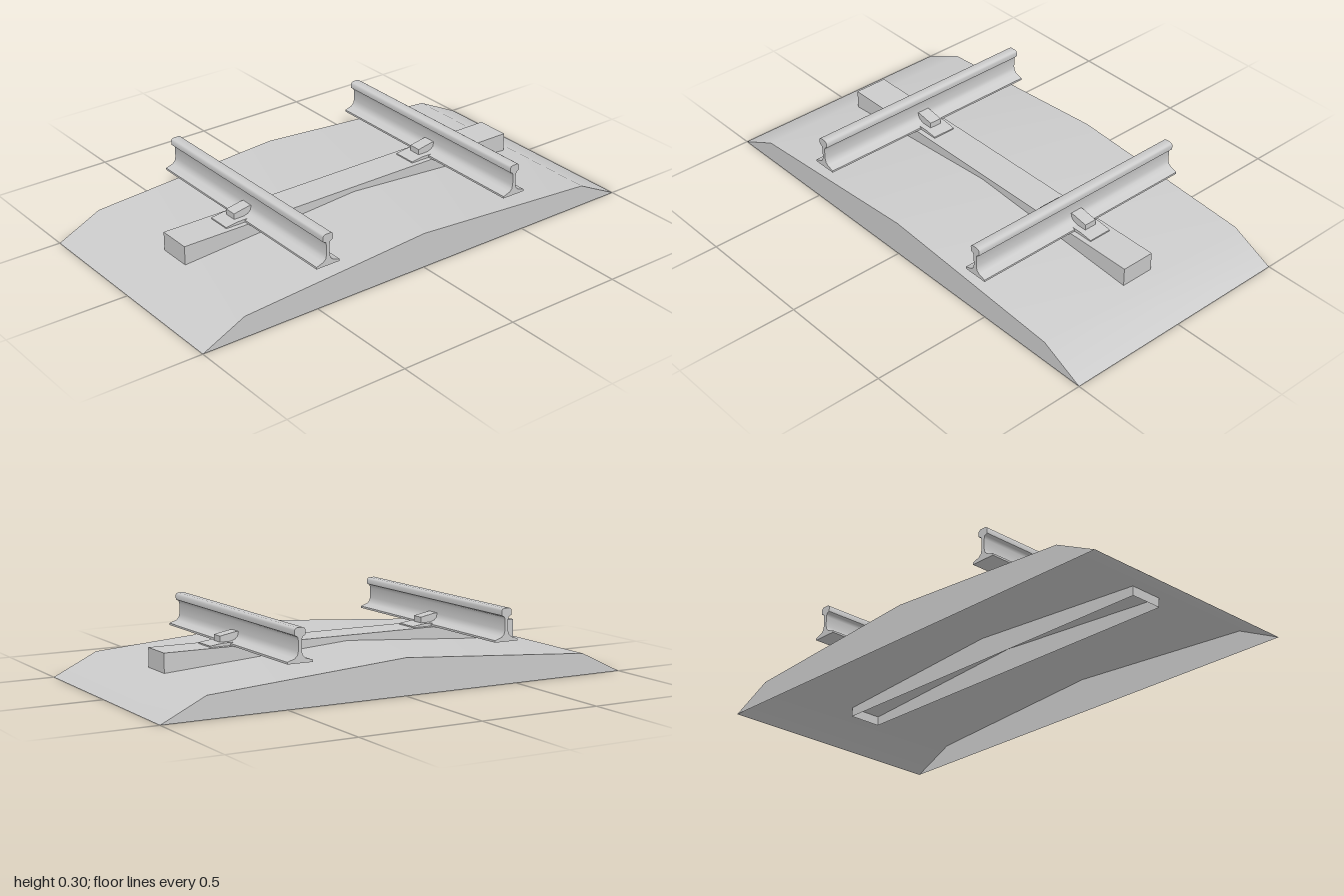
import * as THREE from 'three';
import { toCreasedNormals } from 'three/addons/utils/BufferGeometryUtils.js';

const material = new THREE.MeshStandardMaterial({ color: 0xcccccc, side: THREE.DoubleSide });

function addMesh(parent, name, geometry) {
  const mesh = new THREE.Mesh(geometry, material);
  mesh.name = name;
  parent.add(mesh);
  return mesh;
}

// Shape from the right half of a symmetric profile, listed from bottom to top
function mirroredShape(half) {
  const left = half.filter(([x]) => x > 0).map(([x, y]) => [-x, y]).reverse();
  return new THREE.Shape([...half, ...left].map(([x, y]) => new THREE.Vector2(x, y)));
}

function extrude(half, depth, crease = 0.3) {
  const geometry = new THREE.ExtrudeGeometry(mirroredShape(half), { depth, bevelEnabled: false });
  geometry.translate(0, 0, -depth / 2);
  return toCreasedNormals(geometry, crease);
}

// Gravel bed: crowned smooth top, closed ends, open underside
function createBallast() {
  const group = new THREE.Group();
  group.name = 'ballast';
  const profile = [[-1, 0], [-0.82, 0.087], [0, 0.145], [0.82, 0.087], [1, 0]];
  const top = new THREE.PlaneGeometry(2, 1, profile.length - 1, 1).rotateX(-Math.PI / 2);
  const position = top.attributes.position;
  for (let i = 0; i < position.count; i++) {
    const [x, y] = profile[i % profile.length];
    position.setXYZ(i, x, y, position.getZ(i));
  }
  top.computeVertexNormals();
  addMesh(group, 'ballastTop', top);
  const end = new THREE.ShapeGeometry(mirroredShape([[1, 0], [0.82, 0.087], [0, 0.145]]));
  addMesh(group, 'ballastFrontEnd', end).position.z = 0.5;
  const back = addMesh(group, 'ballastBackEnd', end);
  back.position.z = -0.5;
  back.rotation.y = Math.PI;
  return group;
}

// Sleeper: a box without its bottom, sunk into the gravel
function createSleeperGeometry() {
  const geometry = new THREE.BoxGeometry(1.575, 0.115, 0.142);
  const index = Array.from(geometry.index.array);
  index.splice(18, 6);
  geometry.setIndex(index);
  geometry.clearGroups();
  return geometry.translate(-0.002, 0.1085, 0);
}

export function createModel() {
  const model = new THREE.Group();
  model.name = 'railwayTrack';
  model.add(createBallast());
  addMesh(model, 'sleeper', createSleeperGeometry());

  // Rail section: foot, web and rounded head
  const rail = extrude([
    [0.052, 0.166], [0.052, 0.174], [0.022, 0.184], [0.011, 0.194], [0.007, 0.21],
    [0.007, 0.25], [0.010, 0.262], [0.022, 0.268], [0.023, 0.286], [0.019, 0.293], [0.012, 0.296],
  ], 1, 1.0);
  const plate = extrude([[0.138, 0.165], [0.138, 0.171], [0.085, 0.178]], 0.1);
  const clip = extrude([[0.085, 0.176], [0.085, 0.201], [0.02, 0.213]], 0.052);

  for (const [side, x] of [['left', 0.448], ['right', -0.452]]) {
    const group = new THREE.Group();
    group.name = side + 'RailAssembly';
    group.position.x = x;
    addMesh(group, 'rail', rail);
    addMesh(group, 'basePlate', plate);
    addMesh(group, 'railClip', clip);
    model.add(group);
  }
  return model;
}
